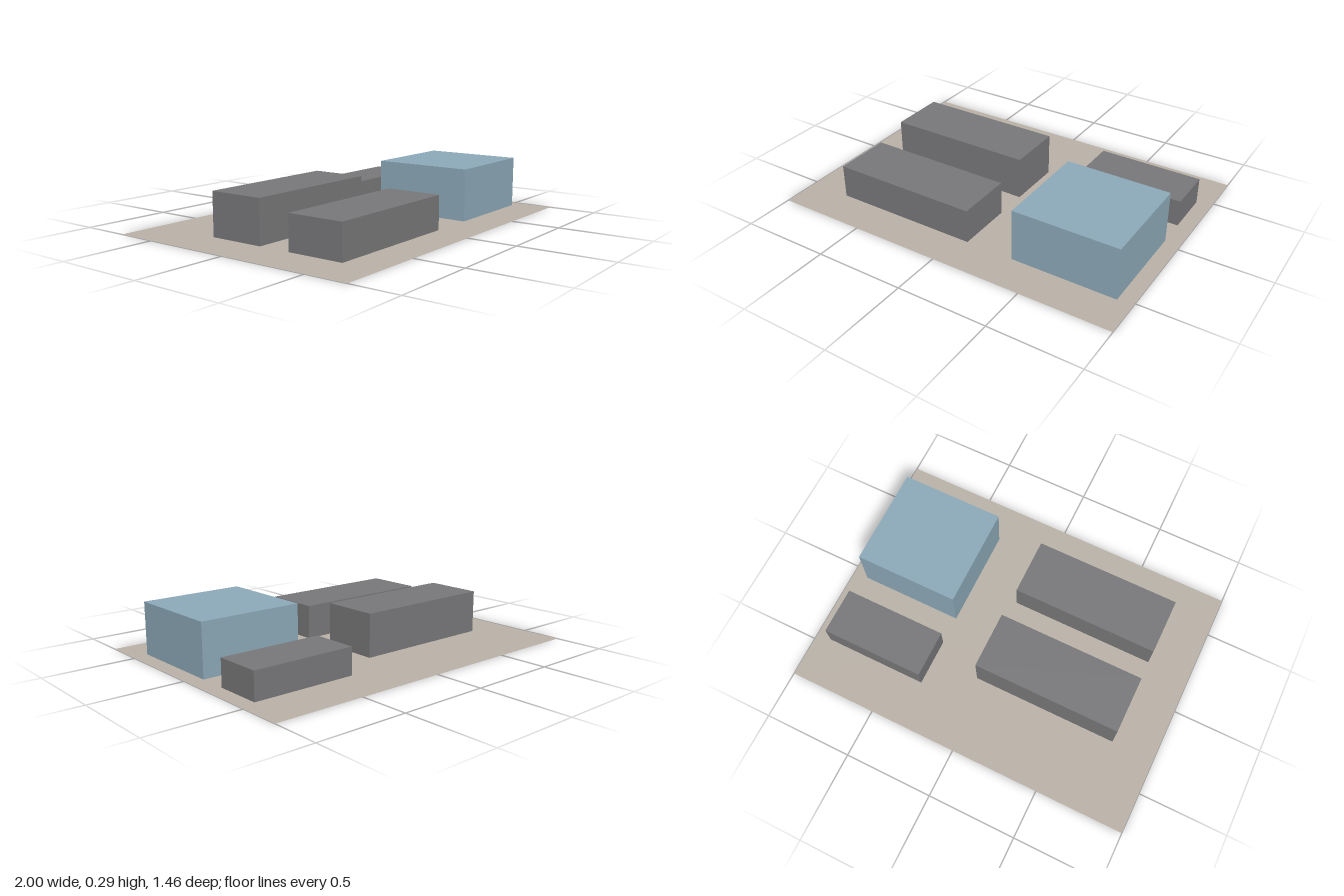
import * as THREE from 'three';

const ground = new THREE.MeshStandardMaterial({ color: 0xbab2a8, side: THREE.DoubleSide });
ground.name = 'warm beige';
const grey = new THREE.MeshStandardMaterial({ color: 0x78787a });
grey.name = 'mid grey';
const blue = new THREE.MeshStandardMaterial({ color: 0x8ca9b8 });
blue.name = 'dusty blue';

// Block given by its footprint edges and roof height, lifted a hair off the ground
function block(name, material, x0, x1, z0, z1, height) {
  const lift = 0.001;
  const mesh = new THREE.Mesh(new THREE.BoxGeometry(x1 - x0, height - lift, z1 - z0), material);
  mesh.position.set((x0 + x1) / 2, (height + lift) / 2, (z0 + z1) / 2);
  mesh.name = name;
  return mesh;
}

export function createModel() {
  const model = new THREE.Group();
  model.name = 'buildingSite';

  // Flat site plate
  const plate = new THREE.Mesh(new THREE.PlaneGeometry(2, 1.46).rotateX(-Math.PI / 2), ground);
  plate.name = 'groundPlate';

  model.add(
    plate,
    // Two long parallel buildings
    block('longBuildingBack', grey, -0.76, 0.065, -0.305, 0.015, 0.24),
    block('longBuildingFront', grey, -0.76, 0.065, 0.2, 0.52, 0.19),
    // Low building and the tall main building
    block('lowBuilding', grey, 0.333, 0.916, -0.465, -0.2, 0.15),
    block('mainBuilding', blue, 0.333, 0.916, -0.04, 0.52, 0.29),
  );
  return model;
}
